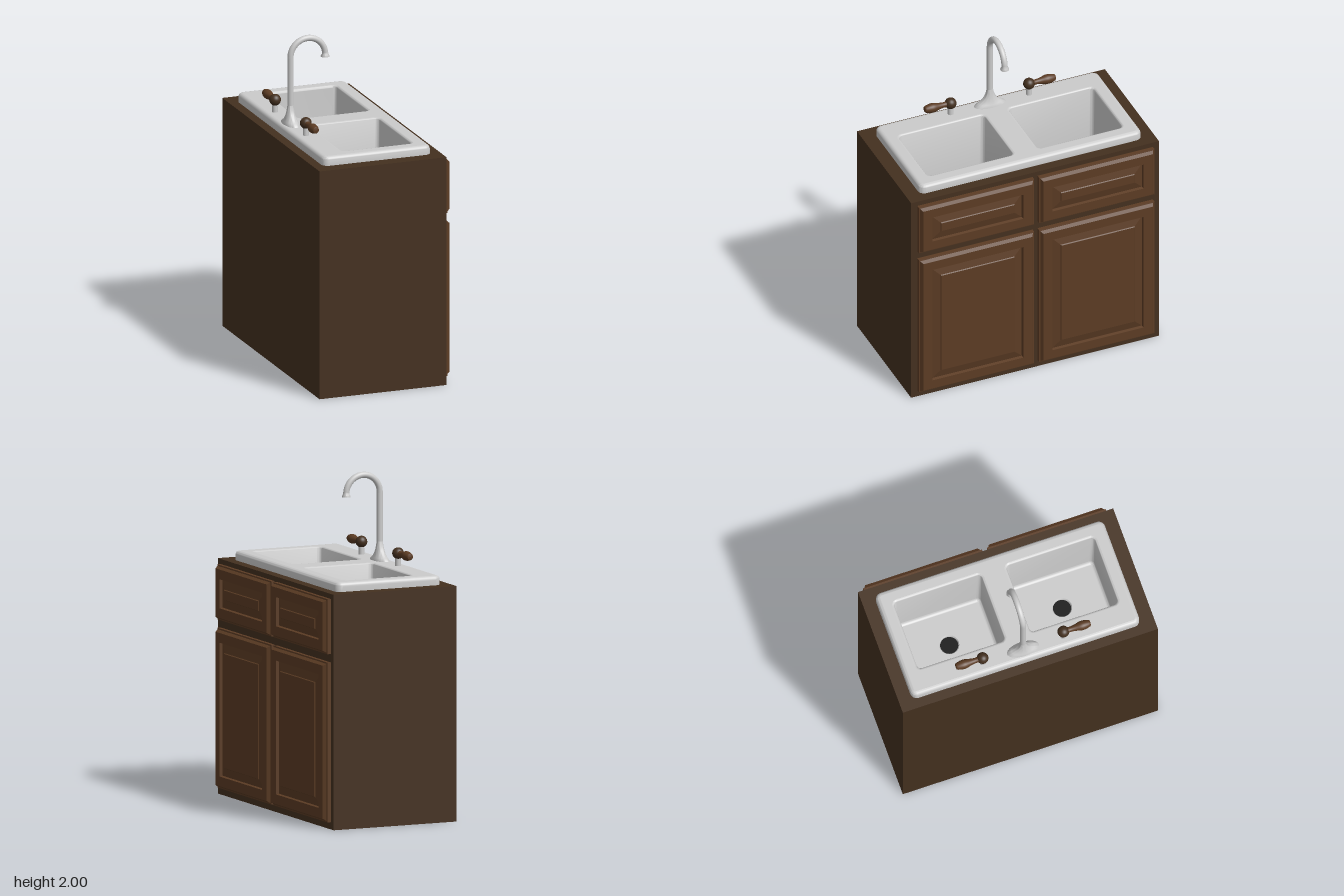
import * as THREE from 'three';
import { toCreasedNormals } from 'three/addons/utils/BufferGeometryUtils.js';

const material = (color, side = THREE.FrontSide) => new THREE.MeshStandardMaterial({ color, side });
const V = (x, y, z) => new THREE.Vector3(x, y, z);

// Skin a list of closed rings, optionally closing the last one
function loft(rings, crease, cap = false) {
  const n = rings[0].length, index = [];
  for (let i = 0; i < rings.length - 1; i++) {
    for (let j = 0; j < n; j++) {
      const a = i * n + j, b = i * n + (j + 1) % n;
      index.push(a, a + n, b, b, a + n, b + n);
    }
  }
  const last = (rings.length - 1) * n;
  if (cap) for (let j = 1; j < n - 1; j++) index.push(last, last + j + 1, last + j);
  const g = new THREE.BufferGeometry().setFromPoints(rings.flat());
  g.setIndex(index);
  return toCreasedNormals(g, crease);
}

// Horizontal rounded rectangle, box = [x0, x1, z0, z1]
function roundedRing([x0, x1, z0, z1], inset, r, y, steps = 8) {
  const pts = [];
  const centres = [[x1, z1, -1, -1], [x0, z1, 1, -1], [x0, z0, 1, 1], [x1, z0, -1, 1]];
  centres.forEach(([x, z, sx, sz], q) => {
    for (let k = 0; k <= steps; k++) {
      const t = (q + k / steps) * Math.PI / 2;
      pts.push(V(x + sx * (inset + r) + r * Math.cos(t), y, z + sz * (inset + r) + r * Math.sin(t)));
    }
  });
  return pts;
}

function ellipseRing(cx, cz, rx, rz, y, n = 40) {
  return Array.from({ length: n }, (_, k) => {
    const t = k / n * Math.PI * 2;
    return V(cx + rx * Math.cos(t), y, cz + rz * Math.sin(t));
  });
}

// Flat upward face bounded by a ring, with ring-shaped holes
function flatFace(ring, holes) {
  const to2D = (r) => r.map((p) => new THREE.Vector2(p.x, -p.z));
  const shape = new THREE.Shape(to2D(ring));
  holes.forEach((h) => shape.holes.push(new THREE.Path(to2D(h))));
  return new THREE.ShapeGeometry(shape).rotateX(-Math.PI / 2).translate(0, ring[0].y, 0);
}

export function createModel() {
  const model = new THREE.Group();
  const darkWood = material(0x44301f), wood = material(0x5c3c24);
  const metal = material(0xcccccc), enamel = material(0xcccccc, THREE.DoubleSide);
  const black = material(0x0c0c0c);
  const add = (name, geometry, mat, parent = model) => {
    const mesh = new THREE.Mesh(geometry, mat);
    mesh.name = name;
    parent.add(mesh);
    return mesh;
  };

  // Cabinet: four walls around an opening, and a bottom
  const outline = new THREE.Shape([[-0.425, -0.8], [0.38, -0.8], [0.38, 0.8], [-0.425, 0.8]].map((p) => new THREE.Vector2(...p)));
  outline.holes.push(new THREE.Path([[-0.34, -0.69], [-0.34, 0.69], [0.29, 0.69], [0.29, -0.69]].map((p) => new THREE.Vector2(...p))));
  add('cabinetBody', new THREE.ExtrudeGeometry(outline, { depth: 1.41, bevelEnabled: false }).rotateX(-Math.PI / 2), darkWood);
  add('cabinetBottom', new THREE.BoxGeometry(0.64, 0.03, 1.39).translate(-0.025, 0.015, 0), darkWood);

  // Doors and drawer fronts: [inset, x] steps of the moulded profile
  const moulding = [[0, 0.38], [0, 0.402], [0.008, 0.404], [0.02, 0.424], [0.078, 0.424], [0.082, 0.406], [0.133, 0.418], [0.137, 0.424]];
  const frontPanel = (name, z0, z1, y0, y1) => {
    const rings = moulding.map(([i, x]) => [
      V(x, y1 - i, z1 - i), V(x, y1 - i, z0 + i), V(x, y0 + i, z0 + i), V(x, y0 + i, z1 - i)]);
    add(name, loft(rings, 0.1, true), wood);
  };
  for (const [side, z0, z1] of [['left', -0.76, -0.016], ['right', 0.016, 0.76]]) {
    frontPanel(side + 'Door', z0, z1, 0.043, 1.0);
    frontPanel(side + 'DrawerFront', z0, z1, 1.05, 1.38);
  }

  // Sink rim with a rounded edge
  const sink = new THREE.Group();
  sink.name = 'sink';
  model.add(sink);
  const top = 1.465, floor = 1.06, lip = 0.025;
  const sinkBox = [-0.367, 0.32, -0.72, 0.714];
  const arc = Array.from({ length: 7 }, (_, k) => k / 6 * Math.PI / 2);
  const rim = [roundedRing(sinkBox, 0, 0.04, 1.41)];
  arc.forEach((t) => {
    const i = lip * (1 - Math.cos(t));
    rim.push(roundedRing(sinkBox, i, 0.04 - i, top - lip + lip * Math.sin(t)));
  });
  add('sinkRim', loft(rim, 0.7), enamel, sink);

  // Basins: rounded lip, steep walls, coved floor and drain
  const basins = [[-0.226, 0.244, -0.645, -0.07], [-0.226, 0.244, 0.06, 0.64]];
  const openings = [];
  for (const box of basins) {
    const rings = [];
    arc.forEach((t) => {
      const i = 0.015 * Math.sin(t);
      rings.push(roundedRing(box, i, 0.04 - i, top - 0.015 * (1 - Math.cos(t))));
    });
    arc.forEach((t) => {
      const i = 0.018 + 0.02 * (1 - Math.cos(t));
      rings.push(roundedRing(box, i, 0.045 - i, floor + 0.02 * (1 - Math.sin(t))));
    });
    openings.push(rings[0]);
    add('basinWalls', loft(rings, 0.7), enamel, sink);
    const x = 0.01, z = (box[2] + box[3]) / 2;
    const drain = [[0.06, 0], [0.057, -0.004], [0.054, -0.01], [0.054, -0.025]]
      .map(([r, y]) => ellipseRing(x, z, r, r, floor + y));
    add('basinFloor', flatFace(rings.at(-1), [drain[0]]), enamel, sink);
    add('drainCollar', loft(drain, 0.7), enamel, sink);
    add('drain', new THREE.CylinderGeometry(0.054, 0.054, 0.01, 32).translate(x, floor - 0.02, z), black, sink);
  }
  add('sinkDeck', flatFace(rim.at(-1), openings), enamel, sink);

  // Faucet: oval flared base, gooseneck pipe and nozzle
  const faucet = new THREE.Group();
  faucet.name = 'faucet';
  faucet.position.set(-0.3, 0, -0.003);
  model.add(faucet);
  const flare = [[0.046, 0.1, 1.462], [0.045, 0.098, 1.468], [0.039, 0.072, 1.482], [0.033, 0.05, 1.5],
    [0.027, 0.034, 1.523], [0.022, 0.024, 1.55], [0.018, 0.018, 1.58]];
  add('faucetBase', loft(flare.map(([rx, rz, y]) => ellipseRing(0, 0, rx, rz, y)), 0.9), metal, faucet);
  const neck = new THREE.CurvePath();
  const bend = Array.from({ length: 17 }, (_, k) => {
    const t = Math.PI * (1 - k / 16);
    return V(0.11 + 0.11 * Math.cos(t), 1.872 + 0.11 * Math.sin(t), 0);
  });
  neck.add(new THREE.LineCurve3(V(0, 1.5, 0), bend[0]));
  neck.add(new THREE.CatmullRomCurve3(bend));
  add('faucetPipe', new THREE.TubeGeometry(neck, 90, 0.0185, 20), metal, faucet);
  const nozzle = [[0.018, 0.03], [0.02, 0.015], [0.026, 0.006], [0.026, 0], [0.02, 0], [0.017, 0.01], [0, 0.01]]
    .map((p) => new THREE.Vector2(...p)).reverse();
  add('faucetNozzle', toCreasedNormals(new THREE.LatheGeometry(nozzle, 28), 0.7).translate(0.22, 1.856, 0), metal, faucet);

  // Tap handles: metal post, ball and turned wooden lever
  const lever = new THREE.SplineCurve([[0.02, 0.02], [0.016, 0.045], [0.02, 0.075], [0.028, 0.11], [0.027, 0.135], [0.021, 0.16], [0.016, 0.168]]
    .map((p) => new THREE.Vector2(...p))).getPoints(24);
  lever.push(new THREE.Vector2(0, 0.17));
  for (const [name, z, s] of [['leftTap', -0.256, -1], ['rightTap', 0.25, 1]]) {
    const tap = new THREE.Group();
    tap.name = name;
    tap.position.set(-0.3, 1.54, z);
    model.add(tap);
    add('tapPost', new THREE.CylinderGeometry(0.016, 0.018, 0.075, 20).translate(0, -0.0385, 0), metal, tap);
    add('tapBall', new THREE.SphereGeometry(0.035, 28, 18), darkWood, tap);
    add('tapLever', new THREE.LatheGeometry(lever, 24).rotateX(s * Math.PI / 2), wood, tap);
  }
  return model;
}
